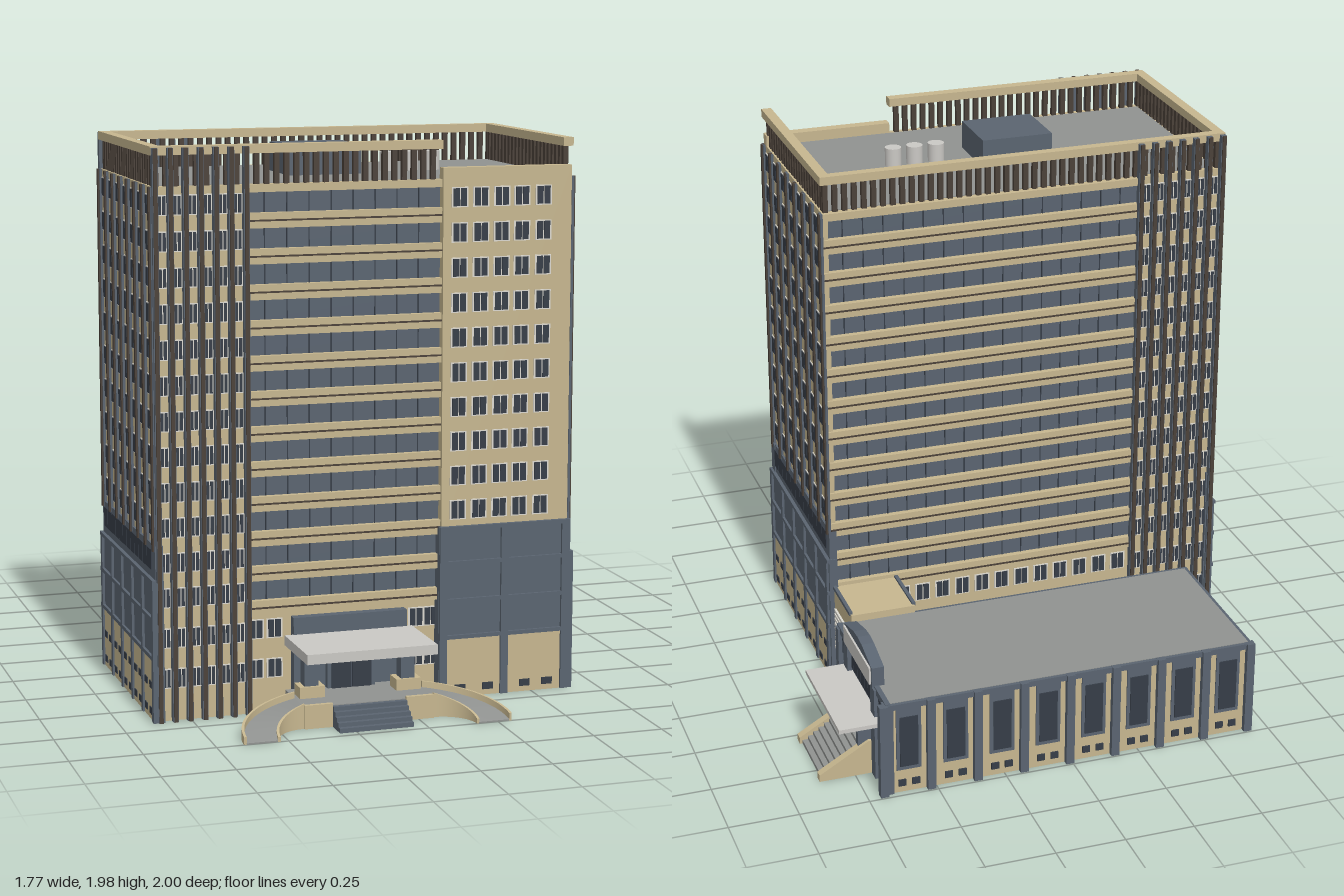
import * as THREE from 'three';
import { mergeGeometries } from 'three/addons/utils/BufferGeometryUtils.js';

const mat = (name, color) => {
  const m = new THREE.MeshStandardMaterial({ color });
  m.name = name;
  return m;
};

export function createModel() {
  const model = new THREE.Group();
  model.name = 'officeTower';
  const beige = mat('beigeStone', 0xc6b68f), slate = mat('slatePanel', 0x5a6470);
  const dark = mat('darkGlass', 0x363d47), brown = mat('brownMetal', 0x4b4139);
  const grey = mat('roofGrey', 0x909290), white = mat('paleConcrete', 0xcac8c4);
  const frameMat = mat('windowFrame', 0xdcd9d0);

  // A box from its limits
  const box = (x0, x1, y0, y1, z0, z1) => new THREE.BoxGeometry(x1 - x0, y1 - y0, z1 - z0)
    .translate((x0 + x1) / 2, (y0 + y1) / 2, (z0 + z1) / 2);
  const add = (name, material, geos) => {
    const mesh = new THREE.Mesh(mergeGeometries(geos.map(g => g.index ? g.toNonIndexed() : g)), material);
    mesh.name = name;
    model.add(mesh);
    return mesh;
  };
  // A wall draws boxes by (u0, u1, y0, y1, outward from, outward to)
  const wall = (axis, at, dir) => (u0, u1, y0, y1, d0, d1) => {
    const a = Math.min(at + dir * d0, at + dir * d1), b = Math.max(at + dir * d0, at + dir * d1);
    return axis === 'z' ? box(u0, u1, y0, y1, a, b) : box(a, b, y0, y1, u0, u1);
  };
  const range = (n, f) => Array.from({ length: n }, (_, i) => f(i));
  const rows = range(12, i => 1.778 - i * 0.1222);   // floor centres
  const allRows = [...rows, 0.292, 0.15];

  // Framed windows split into two panes
  const windows = (name, w, us, ys, width, height = 0.062) => {
    const frames = [], panes = [];
    for (const u of us) for (const y of ys) {
      frames.push(w(u - width / 2 - 0.004, u + width / 2 + 0.004, y - height / 2 - 0.004, y + height / 2 + 0.004, -0.004, 0.003));
      for (const s of [-1, 1]) {
        const c = u + s * width / 4, h = width / 4 - 0.002;
        panes.push(w(c - h, c + h, y - height / 2, y + height / 2, 0, 0.005));
      }
    }
    add(name + 'Frames', frameMat, frames);
    add(name + 'Panes', dark, panes);
  };

  // Tower body
  add('towerCore', beige, [
    box(-0.86, 0.635, 0, 1.835, -0.125, 0.62),
    box(-0.865, -0.55, 0, 1.84, -0.145, 0.65),
    box(0.16, 0.635, 0.6, 1.88, 0.62, 0.66),
  ]);
  add('towerRoof', grey, [box(-0.84, 0.61, 1.835, 1.842, -0.12, 0.62)]);

  // Banded front and back: recessed glass between stone ledges
  const bands = (name, w, u0, u1) => {
    const ledges = [], lines = [], glass = [], mullions = [];
    rows.forEach((y, i) => {
      glass.push(w(u0, u1, y - 0.035, y + 0.035, 0, 0.006));
      const n = Math.round((u1 - u0) / 0.075);
      for (let k = 1; k < n; k++) {
        const u = u0 + (u1 - u0) * k / n;
        mullions.push(w(u - 0.002, u + 0.002, y - 0.035, y + 0.035, 0, 0.009));
      }
      const top = i ? y + 0.0872 : 1.84;
      ledges.push(w(u0, u1, y + 0.035, top, 0, 0.028));
      lines.push(w(u0, u1, y - 0.064, y - 0.058, 0, 0.031));
    });
    ledges.push(w(u0, u1, 0.355, rows[11] - 0.035, 0, 0.028));
    add(name + 'Glass', slate, glass);
    add(name + 'Mullions', dark, mullions);
    add(name + 'Ledges', beige, ledges);
    add(name + 'Grooves', brown, lines);
  };
  const frontWall = wall('z', 0.62, 1), backWall = wall('z', -0.125, -1);
  bands('front', frontWall, -0.55, 0.16);
  bands('back', backWall, -0.55, 0.635);
  windows('frontGround', frontWall, [-0.508, -0.44, 0.08, 0.135], [0.292, 0.15], 0.05);
  windows('backGround', backWall, range(15, i => -0.5 + i * 0.078), [0.292, 0.15], 0.05);

  // Finned left bay, front and back
  for (const [name, w] of [['frontBay', wall('z', 0.65, 1)], ['backBay', wall('z', -0.145, -1)]]) {
    const us = range(7, i => -0.86 + i * 0.0525);
    add(name + 'Fins', slate, us.map(u => w(u - 0.01, u + 0.01, 0, 1.97, 0, 0.024)));
    add(name + 'FinStrips', brown, us.map(u => w(u - 0.007, u + 0.007, 0, 1.97, 0.02, 0.03)));
    windows(name + 'Window', w, us.slice(0, 6).map(u => u + 0.026), allRows, 0.03);
  }

  // Right front block
  windows('rightBlock', wall('z', 0.66, 1), [0.22, 0.298, 0.375, 0.45, 0.53], rows.slice(0, 10), 0.052);

  // Side walls and the panelled podium
  for (const s of [1, -1]) {
    const side = s > 0 ? 'left' : 'right';
    const w = wall('x', s > 0 ? 0.635 : -0.865, s);
    add(side + 'SideWall', beige, [w(-0.145, 0.65, 0.6, 1.84, -0.02, 0)]);
    windows(side + 'Side', w, range(7, i => 0.595 - i * 0.1125), rows.slice(0, 10), 0.066);
    const fins = range(8, i => 0.648 - i * 0.1125);
    add(side + 'SideFins', slate, fins.map(u => w(u - 0.014, u + 0.014, 0.6, 1.84, 0, 0.009)));
    add(side + 'SideFinStrips', brown, fins.map(u => w(u - 0.008, u + 0.008, 0.6, 1.84, 0, 0.015)));
    add(side + 'Podium', slate, [
      w(-0.16, 0.67, 0, 0.5, -0.02, 0.012), w(-0.155, 0.665, 0.5, 0.62, -0.02, 0.008),
      // raised frame around the panels
      ...range(6, i => 0.66 - i * 0.1595).map(u => w(u - 0.012, u + 0.012, 0, 0.5, 0, 0.021)),
      ...[0.225, 0.362, 0.495].map(y => w(-0.16, 0.67, y - 0.007, y + 0.007, 0, 0.021)),
    ]);
    add(side + 'PodiumRibbon', dark, range(12, i => w(-0.12 + i * 0.062, -0.062 + i * 0.062, 0.53, 0.6, 0, 0.012)));
    const bays = range(5, i => 0.58 - i * 0.1595);
    add(side + 'PodiumStone', beige, bays.map(u => w(u - 0.066, u + 0.066, 0, 0.215, 0, 0.015)));
    add(side + 'PodiumVents', dark, bays.flatMap(u => [-0.035, 0.035].flatMap(o =>
      [0.032, 0.125].map(y => w(u + o - 0.018, u + o + 0.018, y - 0.012, y + 0.012, 0.01, 0.018)))));
  }
  const pf = wall('z', 0.66, 1);
  add('frontPodium', slate, [
    pf(0.15, 0.647, 0, 0.62, -0.04, 0.005),
    ...[0.165, 0.395, 0.625].map(u => pf(u - 0.014, u + 0.014, 0, 0.62, 0, 0.016)),
    ...[0.22, 0.352, 0.488, 0.613].map(y => pf(0.152, 0.639, y - 0.007, y + 0.007, 0, 0.016)),
  ]);
  add('frontPodiumStone', beige, [pf(0.18, 0.38, 0, 0.212, 0, 0.009), pf(0.41, 0.61, 0, 0.212, 0, 0.009)]);
  add('frontPodiumVents', dark, [0.23, 0.335, 0.475, 0.56].map(u => pf(u - 0.02, u + 0.02, 0.02, 0.045, 0, 0.013)));

  // Roof screen: slats under a stone cap, open above the right front block
  const slats = [], slat = (x, z) => slats.push(box(x - 0.009, x + 0.009, 1.835, 1.947, z - 0.009, z + 0.009));
  for (let i = 0; i < 43; i++) {
    const x = -0.85 + i * 0.035;
    slat(x, -0.128);
    if (x < 0.16) slat(x, 0.633);
  }
  for (let i = 0; i < 22; i++) [-0.85, 0.62].forEach(x => slat(x, -0.105 + i * 0.035));
  add('roofScreenSlats', brown, slats);
  add('roofScreenCap', beige, [
    box(-0.872, 0.642, 1.945, 1.975, -0.15, -0.115), box(-0.872, 0.16, 1.945, 1.975, 0.615, 0.655),
    box(-0.872, -0.835, 1.945, 1.975, -0.115, 0.615), box(0.605, 0.642, 1.945, 1.975, -0.115, 0.655),
  ]);
  add('roofPlantRoom', slate, [box(-0.31, -0.045, 1.84, 1.945, 0.13, 0.37)]);
  add('roofVents', white, [0.09, 0.172, 0.253].map(x =>
    new THREE.CylinderGeometry(0.03, 0.03, 0.07, 20).translate(x, 1.875, 0.265)));

  // Main entrance
  add('entrancePortal', slate, [
    box(-0.38, 0.035, 0, 0.33, 0.61, 0.655),
    ...[-0.35, 0.0].map(x => box(x - 0.025, x + 0.025, 0.1, 0.24, 0.72, 0.77)),
    box(-0.265, -0.09, 0.075, 0.2, 0.65, 0.68),
  ]);
  add('entranceDoors', dark, [box(-0.25, -0.18, 0.075, 0.185, 0.66, 0.686), box(-0.175, -0.105, 0.075, 0.185, 0.66, 0.686)]);
  add('entranceCanopy', white, [box(-0.412, 0.055, 0.235, 0.27, 0.65, 0.925)]);
  add('entrancePiers', beige, [-0.35, 0.0].map(x => box(x - 0.045, x + 0.045, 0, 0.115, 0.71, 0.78)));
  add('entrancePlatform', grey, [box(-0.41, 0.055, 0, 0.075, 0.65, 0.88)]);
  add('entrancePlatformEdge', beige, [box(-0.41, -0.31, 0, 0.083, 0.875, 0.89), box(-0.045, 0.055, 0, 0.083, 0.875, 0.89)]);
  add('entranceSteps', slate, range(5, i => box(-0.31, -0.045, 0, 0.072 - i * 0.014, 0.87, 0.898 + i * 0.018)));

  // Curved ramps: a box bent through a quarter turn while it falls
  const bent = (r0, r1, lift) => {
    const g = new THREE.BoxGeometry(1, 1, 1, 20, 1, 1), p = g.attributes.position;
    for (let i = 0; i < p.count; i++) {
      const t = p.getX(i) + 0.5, a = t * Math.PI / 2;
      const r = p.getZ(i) > 0 ? r0 : r1;
      const y = p.getY(i) > 0 ? 0.005 + 0.07 * (1 - t) + lift : 0;
      p.setXYZ(i, r * Math.sin(a), y, -r * Math.cos(a));
    }
    g.computeVertexNormals();
    return g;
  };
  for (const [s, x] of [[1, 0.055], [-1, -0.41]]) {
    const ramp = add('ramp', grey, [bent(0.125, 0.24, 0)]);
    const curb = add('rampWalls', beige, [bent(0.118, 0.127, 0.012), bent(0.236, 0.245, 0.022)]);
    for (const m of [ramp, curb]) { m.position.set(x, 0, 1); m.scale.x = s; }
  }

  // Link to the rear hall
  add('link', beige, [box(0.39, 0.63, 0, 0.385, -0.385, -0.12)]);
  add('linkEdge', slate, [box(0.622, 0.635, 0.38, 0.393, -0.375, -0.14), box(0.385, 0.398, 0.38, 0.393, -0.375, -0.14)]);
  add('linkLouvres', frameMat, range(9, i => box(0.625, 0.638, 0.145 + i * 0.019, 0.157 + i * 0.019, -0.3, -0.18)));
  add('linkWindow', dark, [box(0.625, 0.636, 0.02, 0.08, -0.257, -0.2)]);

  // Rear hall
  add('hall', beige, [box(-0.675, 0.665, 0, 0.34, -0.975, -0.38)]);
  add('hallRoof', grey, [box(-0.668, 0.668, 0.34, 0.358, -0.972, -0.385)]);
  add('hallRoofEdge', slate, [
    box(-0.68, 0.68, 0.335, 0.356, -0.985, -0.97), box(-0.68, 0.68, 0.335, 0.356, -0.387, -0.372),
    box(-0.68, -0.666, 0.335, 0.356, -0.98, -0.375), box(0.664, 0.682, 0.335, 0.36, -0.98, -0.375),
  ]);
  const hb = wall('z', -0.975, -1);
  const hallBays = range(8, i => -0.59 + i * 0.17);
  add('hallPilasters', slate, [
    ...range(9, i => hb(-0.687 + i * 0.1705, -0.657 + i * 0.1705, 0, 0.357, -0.01, 0.02)),
    ...hallBays.map(u => hb(u - 0.045, u + 0.045, 0.09, 0.335, -0.01, 0.005)),
  ]);
  add('hallTallWindows', dark, hallBays.map(u => hb(u - 0.033, u + 0.033, 0.105, 0.3, 0, 0.009)));
  add('hallVents', dark, hallBays.flatMap(u => [-0.025, 0.025].map(o => hb(u + o - 0.014, u + o + 0.014, 0.025, 0.05, 0, 0.006))));

  // Hall entrance end
  const he = wall('x', 0.665, 1);
  add('hallEndColumns', slate, [[-0.4, 0.017], [-0.51, 0.024], [-0.845, 0.024], [-0.965, 0.017]]
    .map(([u, h]) => he(u - h, u + h, 0, 0.355, -0.01, 0.025)));
  add('hallEndRibbon', dark, range(13, i => he(-0.965 + i * 0.045, -0.924 + i * 0.045, 0.262, 0.335, 0, 0.01)));
  add('hallEndBand', slate, [he(-0.975, -0.38, 0.225, 0.345, -0.01, 0.006)]);
  add('hallEndWindows', dark, [he(-0.485, -0.42, 0.135, 0.22, 0, 0.008), he(-0.945, -0.87, 0.135, 0.22, 0, 0.008)]);
  add('hallEndVents', frameMat, [he(-0.42, -0.44, 0.055, 0.075, 0, 0.008), he(-0.88, -0.9, 0.055, 0.075, 0, 0.008)]);
  add('hallDoor', dark, [he(-0.8, -0.55, 0.11, 0.235, 0, 0.01)]);
  add('hallDoorColumns', slate, [-0.555, -0.8].map(u => he(u - 0.012, u + 0.012, 0.11, 0.235, 0, 0.07)));
  add('hallCanopy', white, [box(0.665, 0.83, 0.235, 0.25, -0.915, -0.48)]);
  const gable = new THREE.Shape([[-0.17, 0], [0.17, 0], [0.17, 0.075], [0.05, 0.105], [0, 0.109], [-0.05, 0.105], [-0.17, 0.075]]
    .map(([x, y]) => new THREE.Vector2(x, y)));
  add('hallPediment', slate, [new THREE.ExtrudeGeometry(gable, { depth: 0.045, bevelEnabled: false })
    .rotateY(Math.PI / 2).translate(0.645, 0.355, -0.675)]);
  add('hallPedimentPanel', white, [box(0.685, 0.697, 0.362, 0.427, -0.835, -0.515)]);
  add('hallSteps', grey, range(8, i => box(0.66, 0.87 - i * 0.02, 0, 0.014 * (i + 1), -0.79, -0.555)));
  const cheek = new THREE.Shape([[0.66, 0], [0.88, 0], [0.88, 0.025], [0.70, 0.13], [0.66, 0.13]]
    .map(([x, y]) => new THREE.Vector2(x, y)));
  add('hallStepWalls', beige, [-0.825, -0.56].map(z =>
    new THREE.ExtrudeGeometry(cheek, { depth: 0.03, bevelEnabled: false }).translate(0, 0, z)));

  return model;
}
